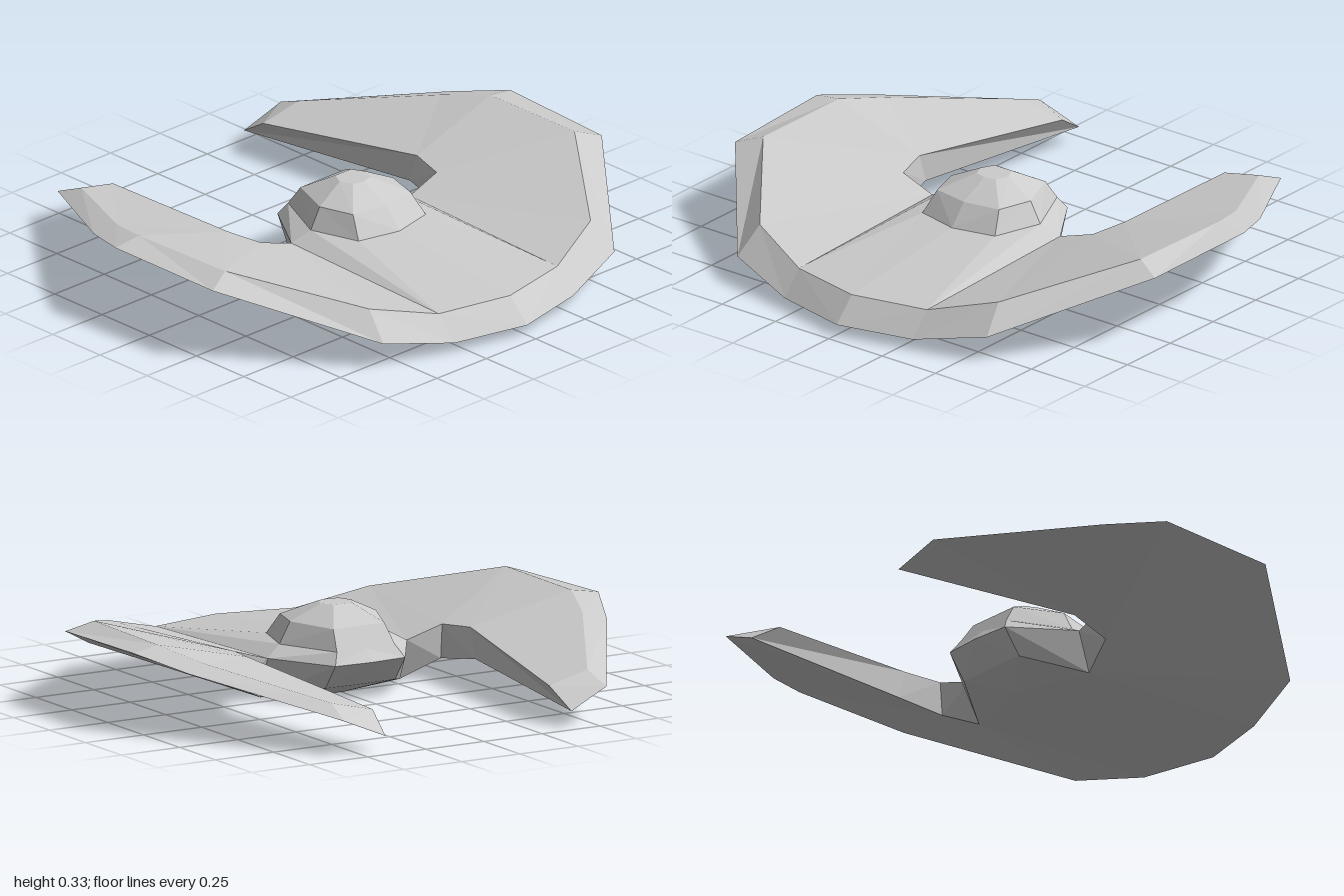
import * as THREE from 'three';

const grey = new THREE.MeshStandardMaterial({ color: 0xcccccc, flatShading: true });

// Skins pairs of matching point rows and mirrors the result across x = 0
function mirroredSkin(name, strips) {
  const pos = [];
  const tri = (a, b, c) => {
    if (a === b || b === c || a === c) return;
    pos.push(...a, ...b, ...c);
    for (const [x, y, z] of [a, c, b]) pos.push(-x, y, z);
  };
  for (const [a, b] of strips) {
    for (let i = 0; i < a.length - 1; i++) {
      tri(a[i], a[i + 1], b[i + 1]);
      tri(a[i], b[i + 1], b[i]);
    }
  }
  const geo = new THREE.BufferGeometry();
  geo.setAttribute('position', new THREE.Float32BufferAttribute(pos, 3));
  geo.computeVertexNormals();
  const mesh = new THREE.Mesh(geo, grey);
  mesh.name = name;
  return mesh;
}

export function createModel() {
  // Outer rim, nose to prong tip: lower edge and inset upper edge
  const low = [
    [0, 0.04, 0.955], [0.3, 0.04, 0.885], [0.585, 0.1, 0.805], [0.985, 0.28, 0.32],
    [1, 0.292, -0.18], [0.9, 0.245, -0.4], [0.565, 0.13, -0.94],
  ];
  const top = [
    [0, 0.13, 0.865], [0.3, 0.13, 0.8], [0.56, 0.2, 0.705], [0.885, 0.315, 0.28],
    [0.89, 0.31, -0.17], [0.82, 0.27, -0.36], [0.55, 0.175, -0.83],
  ];
  // Inner edge of the notch, hub to prong tip
  const innerTop = [[0.3, 0.155, 0.02], [0.445, 0.2, 0.01], [0.48, 0.21, -0.13], [0.38, 0.135, -0.84]];
  const innerLow = [[0.3, 0, 0.07], [0.445, 0.07, 0.02], [0.48, 0.097, -0.165], [0.4, 0.06, -0.962]];
  // Rear of the hub
  const rearTop = [[0.15, 0.15, -0.21], [0, 0.15, -0.22]];
  const rearLow = [[0.15, 0.055, -0.14], [0, 0.055, -0.145]];
  const keel = [0, 0, -0.01];

  // Cockpit rings, front to back
  const base = [[0, 0.195, 0.28], [0.17, 0.195, 0.24], [0.23, 0.195, 0.05], [0.125, 0.195, -0.18], [0, 0.195, -0.18]];
  const mid = [[0, 0.275, 0.21], [0.145, 0.275, 0.185], [0.185, 0.275, 0.05], [0.11, 0.27, -0.13], [0, 0.27, -0.13]];
  const cap = [[0, 0.332, 0.09], [0.045, 0.332, 0.08], [0.065, 0.332, 0.03], [0.04, 0.332, -0.02], [0, 0.332, -0.02]];
  const peak = [0, 0.332, 0.03];

  // Pair each outer point of the wing with a notch point
  const pairing = [0, 0, 1, 2, 2, 3];
  const wingInnerTop = pairing.map((i) => innerTop[i]);
  const wingInnerLow = pairing.map((i) => innerLow[i]);
  const hubLow = [low[0], low[1], innerLow[0], ...rearLow];

  const group = new THREE.Group();
  group.add(
    mirroredSkin('outerRim', [[low, top]]),
    mirroredSkin('wings', [
      [top.slice(1), wingInnerTop],
      [wingInnerLow, low.slice(1)],
      [innerTop, innerLow],
      [[low[6], innerLow[3]], [top[6], innerTop[3]]],
    ]),
    mirroredSkin('hub', [
      [[top[0], top[1], innerTop[0], ...rearTop], base],
      [[innerLow[0], ...rearLow], [innerTop[0], ...rearTop]],
      [hubLow.map(() => keel), hubLow],
    ]),
    mirroredSkin('cockpit', [[base, mid], [mid, cap], [cap, cap.map(() => peak)]]),
  );
  return group;
}
